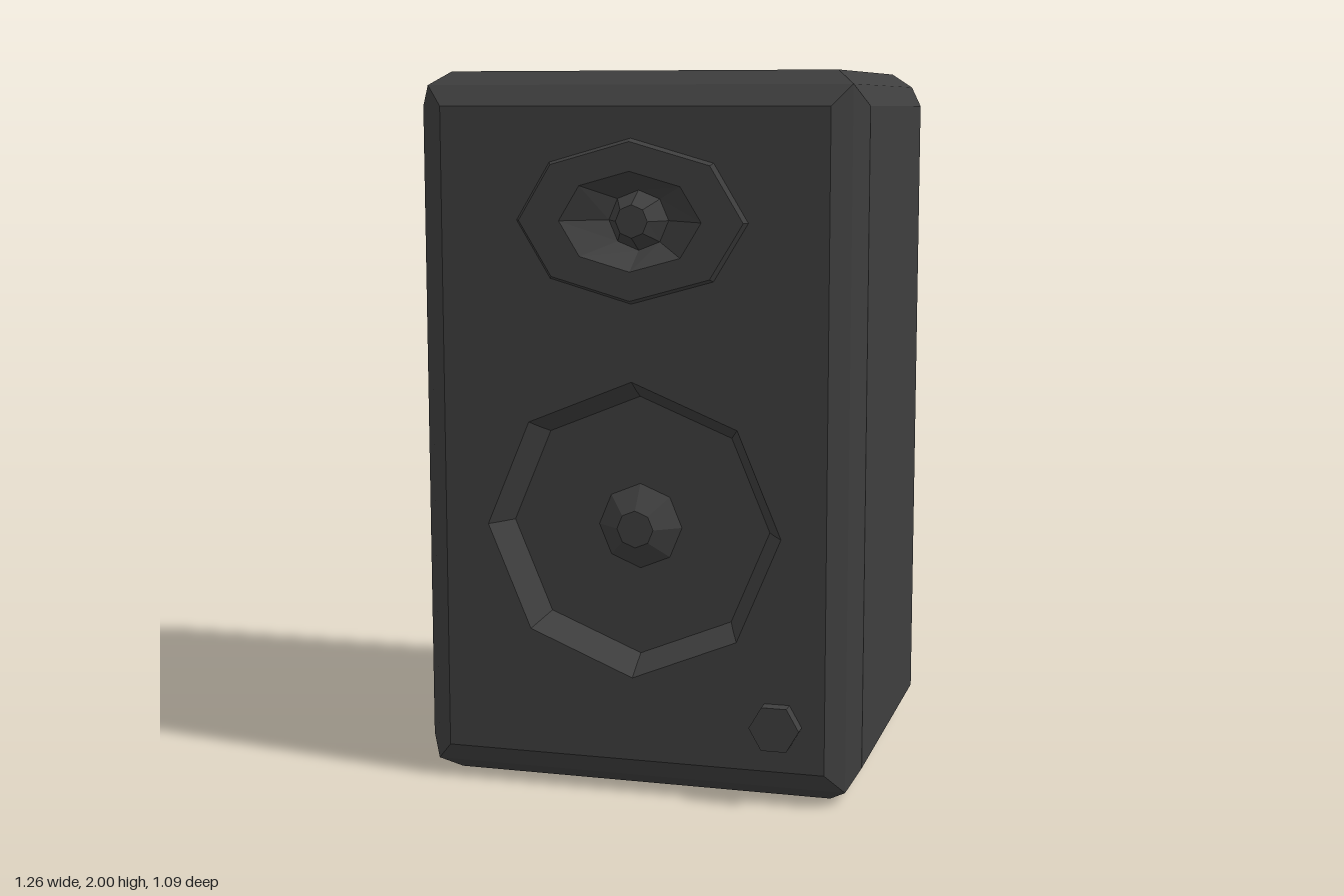
import * as THREE from 'three';
import { ConvexGeometry } from 'three/addons/geometries/ConvexGeometry.js';

const FRONT = 0.505;   // z of the front baffle
const WOOFER_Y = 0.746;
const TWEETER_Y = 1.597;

// point i of an n-sided ring
function ringPoint(rx, ry, i, n) {
  const a = (i / n) * Math.PI * 2;
  return [rx * Math.cos(a), ry * Math.sin(a)];
}

// faceted surface through rings [rx, ry, z], listed from the outside inwards
function ringLoft(rings, n = 8) {
  const pos = [];
  for (let r = 0; r < rings.length - 1; r++) {
    const [ax, ay, az] = rings[r];
    const [bx, by, bz] = rings[r + 1];
    for (let i = 0; i < n; i++) {
      const a0 = [...ringPoint(ax, ay, i, n), az];
      const a1 = [...ringPoint(ax, ay, i + 1, n), az];
      const b0 = [...ringPoint(bx, by, i, n), bz];
      const b1 = [...ringPoint(bx, by, i + 1, n), bz];
      pos.push(...a0, ...a1, ...b1);
      if (bx > 0) pos.push(...a0, ...b1, ...b0);
    }
  }
  const g = new THREE.BufferGeometry();
  g.setAttribute('position', new THREE.Float32BufferAttribute(pos, 3));
  g.computeVertexNormals();
  return g;
}

// bevelled box, left open where the baffle goes
function cabinetShell() {
  const points = [];
  for (const sx of [-1, 1]) for (const sy of [-1, 1]) for (const front of [true, false]) {
    const add = (x, y, z) => points.push(new THREE.Vector3(sx * x, 1 + sy * y, z));
    const zFace = front ? FRONT : -0.545;
    const zFlat = front ? 0.41 : -0.453;
    const zCorner = front ? 0.463 : -0.507;
    add(0.545, 0.905, zFace);
    add(0.545, 1, zFlat);
    add(0.632, 0.905, zFlat);
    add(0.596, 0.962, zCorner);
  }
  const src = new ConvexGeometry(points).getAttribute('position');
  const pos = [];
  for (let i = 0; i < src.count; i += 3) {
    const onFront = [0, 1, 2].every(k => src.getZ(i + k) > FRONT - 0.001);
    if (onFront) continue;
    for (let k = 0; k < 3; k++) pos.push(src.getX(i + k), src.getY(i + k), src.getZ(i + k));
  }
  const g = new THREE.BufferGeometry();
  g.setAttribute('position', new THREE.Float32BufferAttribute(pos, 3));
  g.computeVertexNormals();
  return g;
}

// flat front with an octagonal hole for each driver
function baffleGeometry() {
  const shape = new THREE.Shape();
  shape.moveTo(-0.545, 0.095).lineTo(0.545, 0.095).lineTo(0.545, 1.905).lineTo(-0.545, 1.905);
  shape.closePath();
  for (const [rx, ry, cy] of [[0.42, 0.415, WOOFER_Y], [0.3, 0.2, TWEETER_Y]]) {
    const pts = [];
    for (let i = 0; i < 8; i++) {
      const [x, y] = ringPoint(rx, ry, i, 8);
      pts.push(new THREE.Vector2(x, y + cy));
    }
    shape.holes.push(new THREE.Path(pts));
  }
  return new THREE.ShapeGeometry(shape);
}

export function createModel() {
  const model = new THREE.Group();
  model.name = 'bookshelfSpeaker';

  const charcoal = new THREE.MeshStandardMaterial({ color: 0x3e3e3e, flatShading: true });
  charcoal.name = 'charcoal';

  const add = (name, geometry, x = 0, y = 0, z = 0) => {
    const mesh = new THREE.Mesh(geometry, charcoal);
    mesh.name = name;
    mesh.position.set(x, y, z);
    model.add(mesh);
    return mesh;
  };

  add('cabinet', cabinetShell());
  add('baffle', baffleGeometry(), 0, 0, FRONT);

  // woofer: stepped rim, sunken flat cone, raised dust cap
  add('wooferCone', ringLoft([
    [0.42, 0.415, FRONT], [0.392, 0.387, 0.46], [0.37, 0.365, 0.42], [0.12, 0.12, 0.42],
  ]), 0, WOOFER_Y);
  add('wooferDustCap', ringLoft([
    [0.12, 0.12, 0.42], [0.052, 0.052, 0.475], [0, 0, 0.475],
  ]), 0, WOOFER_Y);

  // tweeter: raised oval plate, flared horn, central plug
  add('tweeterHorn', ringLoft([
    [0.327, 0.224, FRONT - 0.002], [0.315, 0.214, 0.52], [0.2, 0.135, 0.52], [0.085, 0.082, 0.43],
  ]), 0, TWEETER_Y);
  add('tweeterPlug', ringLoft([
    [0.085, 0.082, 0.43], [0.045, 0.045, 0.5], [0, 0, 0.5],
  ]), 0, TWEETER_Y);

  // hexagonal volume knob
  add('volumeKnob', ringLoft([
    [0.07, 0.07, FRONT - 0.005], [0.07, 0.07, 0.545], [0, 0, 0.545],
  ], 6), 0.412, 0.226);

  return model;
}
